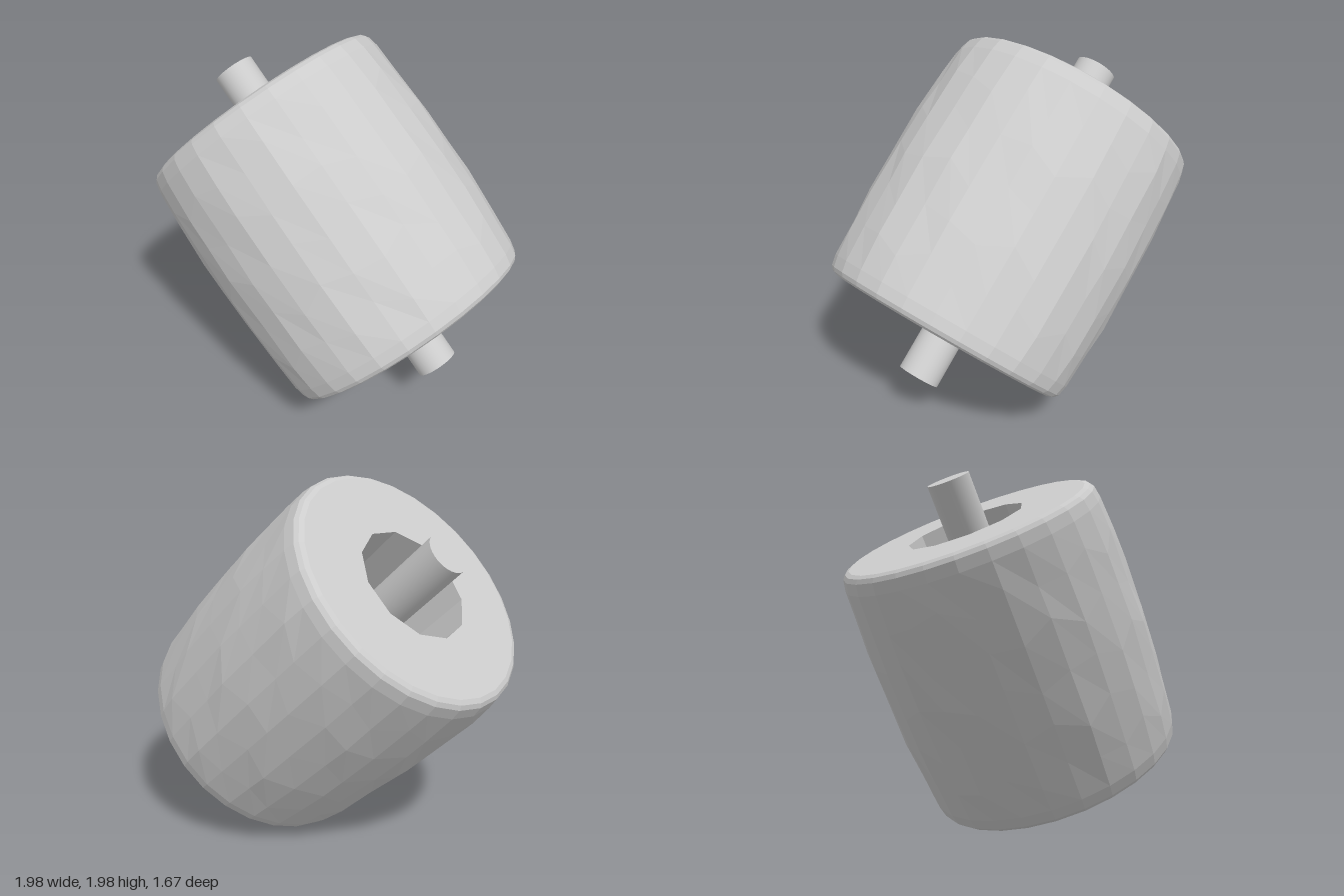
import * as THREE from 'three';

export function createModel() {
  const model = new THREE.Group();
  const roller = new THREE.Group();
  roller.name = 'tiltedRoller';
  model.add(roller);

  const SIDES = 28, HOLE_SIDES = 11;
  const CAP_Y = 0.73, CAP_R = 0.66, HOLE_R = 0.325, FLOOR_Y = 0.3;
  const faceted = new THREE.MeshStandardMaterial({ color: 0xcccccc, flatShading: true, side: THREE.DoubleSide });
  const smooth = new THREE.MeshStandardMaterial({ color: 0xcccccc });

  const add = (name, geometry, material, parent = roller) => {
    const mesh = new THREE.Mesh(geometry, material);
    mesh.name = name;
    parent.add(mesh);
    return mesh;
  };
  const ring = (n, r) => Array.from({ length: n }, (_, i) => {
    const a = (i / n) * Math.PI * 2;
    return new THREE.Vector2(Math.sin(a) * r, Math.cos(a) * r);
  });

  // Slightly bulged drum wall with rounded rims
  const half = [[0.742, 0], [0.738, 0.24], [0.728, 0.46], [0.715, 0.64], [0.702, 0.7], [0.685, 0.72], [CAP_R, CAP_Y]];
  const profile = [
    ...half.slice(1).reverse().map(([r, y]) => new THREE.Vector2(r, -y)),
    ...half.map(([r, y]) => new THREE.Vector2(r, y)),
  ];
  const wall = new THREE.LatheGeometry(profile, SIDES);

  // Uneven, hand-cut facets on the middle rows only
  const pos = wall.attributes.position;
  for (let i = 0; i < pos.count; i++) {
    const x = pos.getX(i), y = pos.getY(i), z = pos.getZ(i);
    if (Math.abs(y) > 0.6) continue;
    const a = Math.atan2(x, z);
    const k = 1 + 0.008 * Math.sin(5 * a + 9 * y) * Math.cos(9 * a - 5 * y);
    const dy = 0.05 * Math.sin(11 * a + 7 * y);
    pos.setXYZ(i, x * k, y + dy, z * k);
  }
  add('drumWall', wall, faceted);

  // Each end: flat annular face, recess wall and recess floor
  for (const [name, turn] of [['upperEnd', 0], ['lowerEnd', Math.PI]]) {
    const end = new THREE.Group();
    end.name = name;
    end.rotation.x = turn;
    roller.add(end);

    const face = new THREE.Shape(ring(SIDES, CAP_R));
    face.holes.push(new THREE.Path(ring(HOLE_SIDES, HOLE_R)));
    add('endFace', new THREE.ShapeGeometry(face).rotateX(-Math.PI / 2).translate(0, CAP_Y, 0), faceted, end);

    const depth = CAP_Y - FLOOR_Y;
    add('recessWall', new THREE.CylinderGeometry(HOLE_R, HOLE_R, depth, HOLE_SIDES, 1, true)
      .rotateY(Math.PI).translate(0, FLOOR_Y + depth / 2, 0), faceted, end);
    add('recessFloor', new THREE.ShapeGeometry(new THREE.Shape(ring(HOLE_SIDES, HOLE_R)))
      .rotateX(-Math.PI / 2).translate(0, FLOOR_Y, 0), faceted, end);
  }

  // Axle through the middle
  add('axle', new THREE.CylinderGeometry(0.115, 0.115, 1.975, 32), smooth);

  // Lean the whole roller along its diagonal axis
  const axis = new THREE.Vector3(-0.689, 0.689, -0.223).normalize();
  roller.quaternion.setFromUnitVectors(new THREE.Vector3(0, 1, 0), axis);
  roller.position.y = 1;
  return model;
}
